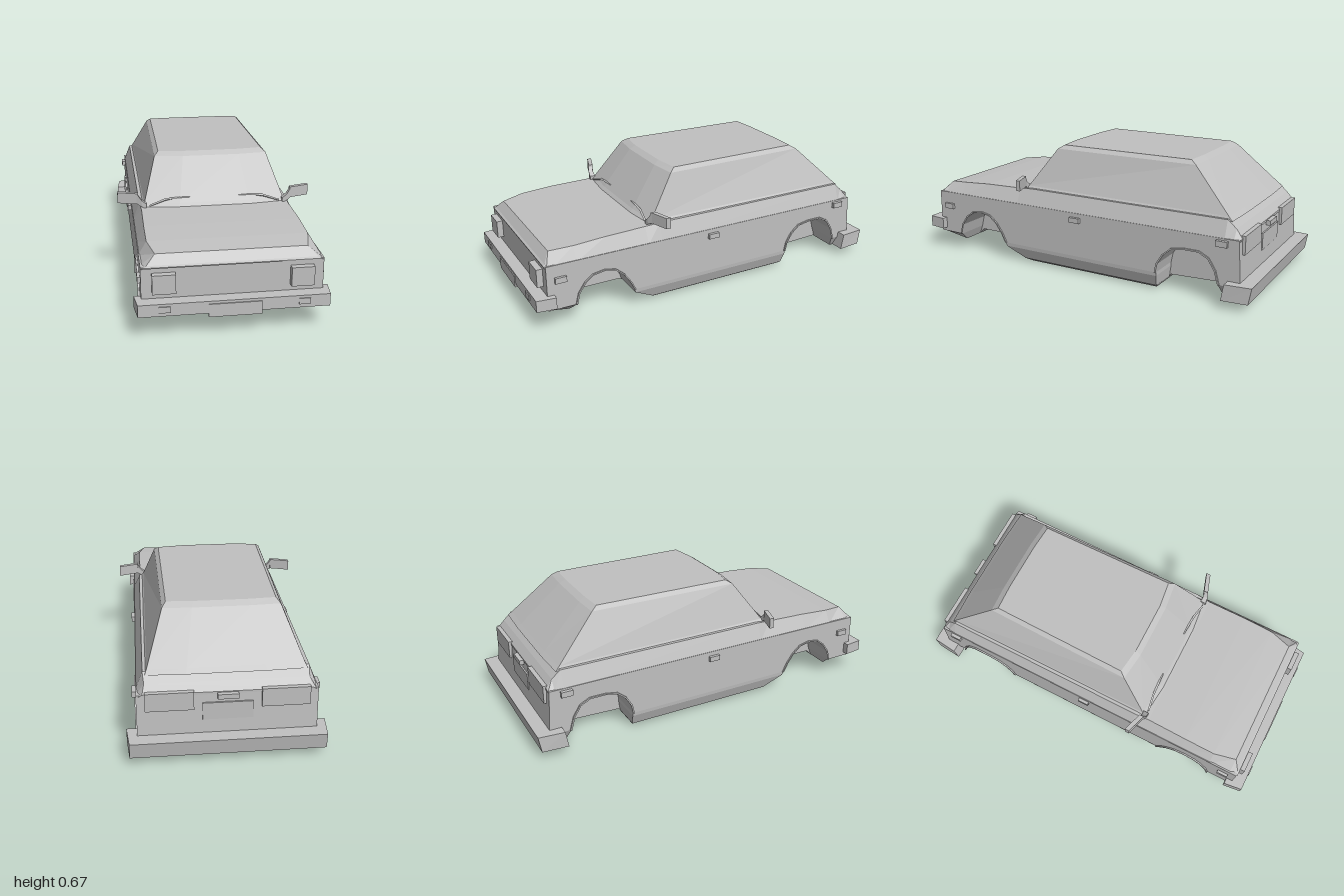
import * as THREE from 'three';

const paint = new THREE.MeshStandardMaterial({ color: 0xc0c0c0, flatShading: true });
paint.name = 'grey paint';

// Closed skin through rings of [x, y, z] points, with flat ends, facing outward.
function loft(rings) {
  const tris = [], n = rings[0].length;
  for (let r = 0; r < rings.length - 1; r++) {
    for (let i = 0; i < n; i++) {
      const j = (i + 1) % n, a = rings[r], b = rings[r + 1];
      tris.push([a[i], a[j], b[j]], [a[i], b[j], b[i]]);
    }
  }
  const first = rings[0], last = rings[rings.length - 1];
  for (let i = 1; i < n - 1; i++) {
    tris.push([first[0], first[i + 1], first[i]], [last[0], last[i], last[i + 1]]);
  }
  const v = (p) => new THREE.Vector3(...p);
  const volume = tris.reduce((s, [a, b, c]) => s + v(a).dot(v(b).cross(v(c))), 0);
  const out = tris.map(([a, b, c]) => (volume < 0 ? [a, c, b] : [a, b, c]));
  const geo = new THREE.BufferGeometry();
  geo.setAttribute('position', new THREE.Float32BufferAttribute(out.flat(2), 3));
  geo.computeVertexNormals();
  return geo;
}

// Rectangular ring at height y: half widths at the front and rear ends.
const layer = (y, zf, zr, xf, xr = xf) => [[xf, y, zf], [xf, y, zr], [-xr, y, zr], [-xf, y, zf]]
  .map((p, i) => (i === 1 ? [xr, y, zr] : p));

// Side profile of [z, y] points, extruded from x0 to x1.
function slab(points, x0, x1) {
  const shape = new THREE.Shape(points.map(([z, y]) => new THREE.Vector2(-z, y)));
  const geo = new THREE.ExtrudeGeometry(shape, { depth: x1 - x0, bevelEnabled: false });
  return geo.rotateY(Math.PI / 2).translate(x0, 0, 0);
}

export function createModel() {
  const car = new THREE.Group();
  car.name = 'carBody';
  const add = (name, geo) => {
    const mesh = new THREE.Mesh(geo, paint);
    mesh.name = name;
    car.add(mesh);
    return mesh;
  };
  const box = (name, x0, x1, y0, y1, z0, z1) => add(name,
    new THREE.BoxGeometry(x1 - x0, y1 - y0, z1 - z0)
      .translate((x0 + x1) / 2, (y0 + y1) / 2, (z0 + z1) / 2));

  // Wheel arch outlines, front to back
  const frontArch = [[0.78, 0.1], [0.765, 0.16], [0.73, 0.21], [0.69, 0.24], [0.63, 0.25],
    [0.57, 0.238], [0.525, 0.2], [0.49, 0.15], [0.465, 0.1]];
  const rearArch = [[-0.48, 0.1], [-0.49, 0.15], [-0.52, 0.2], [-0.565, 0.238], [-0.63, 0.25],
    [-0.71, 0.25], [-0.76, 0.225], [-0.795, 0.17], [-0.815, 0.1]];
  const sidePanel = [[0.93, 0.34], [0.93, 0.1], ...frontArch, ...rearArch, [-0.93, 0.1], [-0.915, 0.34]];

  // Centre of the body between the wheel wells, with the stepped floor
  add('centreBody', slab([[0.93, 0.34], [0.93, 0.1], [0.85, 0.05], [0.8, 0.05], [0.77, 0.08],
    [0.47, 0.08], [0.33, 0.002], [-0.46, 0.002], [-0.48, 0.03], [-0.84, 0.045], [-0.93, 0.1],
    [-0.915, 0.34]], -0.25, 0.25));

  for (const s of [1, -1]) {
    const side = s > 0 ? 'left' : 'right';
    const span = (a, b) => (s > 0 ? [a, b] : [-b, -a]);
    add(side + 'SidePanel', slab(sidePanel, ...span(0.24, 0.43)));

    // Raised lips around the arches
    [['Front', frontArch, 0.622], ['Rear', rearArch, -0.647]].forEach(([end, arch, zc]) => {
      const outer = arch.map(([z, y]) => [zc + (z - zc) * 1.05, 0.1 + (y - 0.1) * 1.05]);
      add(side + end + 'ArchLip', slab([...arch, ...outer.reverse()], ...span(0.42, 0.438)));
    });

    // Lamps, markers and door handle
    box(side + 'Headlight', ...span(0.27, 0.38), 0.215, 0.31, 0.92, 0.962);
    box(side + 'BumperLamp', ...span(0.3, 0.355), 0.14, 0.17, 0.98, 1.0);
    box(side + 'TailLight', ...span(0.16, 0.39), 0.26, 0.355, -0.932, -0.9);
    box(side + 'FrontMarker', ...span(0.42, 0.444), 0.245, 0.275, 0.83, 0.89);
    box(side + 'RearMarker', ...span(0.42, 0.448), 0.3, 0.33, -0.86, -0.8);
    box(side + 'DoorHandle', ...span(0.42, 0.446), 0.29, 0.317, -0.03, 0.03);

    // Mirror on a tapered stem
    const mirrorRing = (x, y0, y1, z, t) =>
      [[s * x, y0, z + t], [s * x, y1, z + t], [s * x, y1, z - t], [s * x, y0, z - t]];
    add(side + 'MirrorStem', loft([mirrorRing(0.36, 0.415, 0.44, 0.35, 0.015),
      mirrorRing(0.385, 0.425, 0.46, 0.35, 0.013), mirrorRing(0.41, 0.44, 0.495, 0.342, 0.01)]));
    add(side + 'Mirror', loft([mirrorRing(0.402, 0.438, 0.495, 0.342, 0.012),
      mirrorRing(0.508, 0.438, 0.495, 0.308, 0.012)]));

    // Wiper arm lying on the windshield
    const wiper = (x, y, z, h) => [[s * x, y - h, z], [s * x, y + h, z], [s * x, y, z + 0.01]];
    add(side + 'Wiper', loft([wiper(0.345, 0.426, 0.352, 0.005), wiper(0.26, 0.452, 0.338, 0.007),
      wiper(0.19, 0.459, 0.334, 0.003), wiper(0.13, 0.459, 0.33, 0.002)]));
  }

  // Tapered lower body: sills, chin and tail
  add('sills', loft([layer(0.1, 0.465, -0.48, 0.43), layer(0.08, 0.46, -0.48, 0.428),
    layer(0.02, 0.35, -0.472, 0.405), layer(0, 0.32, -0.46, 0.375)]));
  add('chin', loft([layer(0.1, 0.93, 0.78, 0.42, 0.43), layer(0.05, 0.86, 0.8, 0.35, 0.37)]));
  add('tail', loft([layer(0.1, -0.815, -0.93, 0.43), layer(0.04, -0.835, -0.86, 0.4)]));

  // Hood and shoulders: [z, lower half width, upper half width, top height]
  add('hoodAndShoulders', loft([
    [0.935, 0.425, 0.41, 0.338], [0.925, 0.43, 0.402, 0.345], [0.89, 0.43, 0.36, 0.388],
    [0.77, 0.43, 0.39, 0.402], [0.6, 0.43, 0.391, 0.413], [0.38, 0.43, 0.388, 0.418],
    [0.3, 0.43, 0.395, 0.425], [-0.84, 0.43, 0.395, 0.425], [-0.885, 0.425, 0.39, 0.385],
    [-0.918, 0.42, 0.4, 0.345],
  ].map(([z, xl, xh, y]) => [[xl, 0.333, z], [xh, y, z], [-xh, y, z], [-xl, 0.333, z]])));

  // Cabin: [height, front z, rear z, front half width, rear half width]
  add('cabin', loft([
    [0.415, 0.355, -0.86, 0.385, 0.385], [0.435, 0.335, -0.838, 0.37, 0.375],
    [0.645, 0.185, -0.622, 0.302, 0.29], [0.665, 0.155, -0.59, 0.28, 0.27],
  ].map(([y, zf, zr, xf, xr]) => [[xf, y, zf], [xr, y, zr], [xr * 0.5, y, zr - 0.008],
    [-xr * 0.5, y, zr - 0.008], [-xr, y, zr], [-xf, y, zf], [-xf * 0.5, y, zf + 0.018],
    [xf * 0.5, y, zf + 0.018]])));

  // Bumpers
  add('frontBumper', loft([layer(0.122, 0.995, 0.895, 0.45, 0.463),
    layer(0.183, 0.995, 0.895, 0.45, 0.463)]));
  add('rearBumper', loft([layer(0.045, -0.85, -0.985, 0.482, 0.47),
    layer(0.13, -0.865, -1, 0.482, 0.468)]));

  // Plates and hatch latch
  box('frontPlate', -0.125, 0.125, 0.105, 0.17, 0.985, 1.0);
  box('rearPlate', -0.12, 0.12, 0.2, 0.29, -0.926, -0.9);
  box('hatchLatch', -0.05, 0.05, 0.315, 0.34, -0.94, -0.9);

  return car;
}
